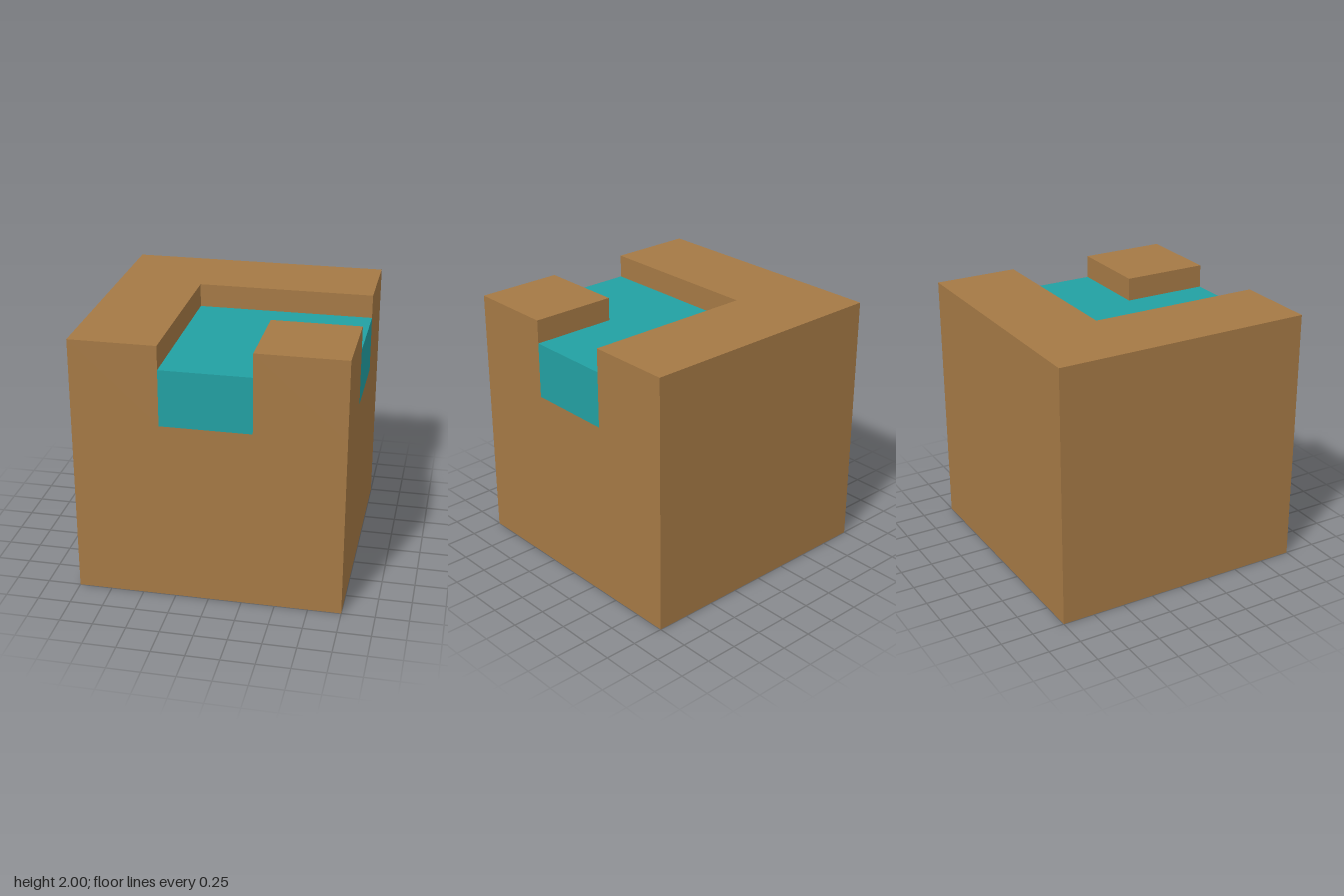
import * as THREE from 'three';

const earth = new THREE.MeshStandardMaterial({ color: 0xa57945 });
earth.name = 'earth brown';
const water = new THREE.MeshStandardMaterial({ color: 0x22a0a2 });
water.name = 'water teal';

// Heights and channel limits (the same along x and z)
const BED = 1.39, SURFACE = 1.82, TOP = 2;
const NEAR = -0.35, FAR = 0.33;

// Upright slab from an [x, z] outline between two heights
function slab(name, outline, y0, y1, material) {
  const shape = new THREE.Shape(outline.map(([x, z]) => new THREE.Vector2(x, -z)));
  const geometry = new THREE.ExtrudeGeometry(shape, { depth: y1 - y0, bevelEnabled: false });
  geometry.rotateX(-Math.PI / 2);
  geometry.translate(0, y0, 0);
  const mesh = new THREE.Mesh(geometry, material);
  mesh.name = name;
  return mesh;
}

export function createModel() {
  const group = new THREE.Group();
  group.name = 'riverBendTile';

  // Solid ground below the river bed
  group.add(slab('groundBlock', [[-1, 1], [1, 1], [1, -1], [-1, -1]], 0, BED, earth));

  // L-shaped bank around the outside of the bend
  group.add(slab('outerBank',
    [[-1, 1], [NEAR, 1], [NEAR, NEAR], [1, NEAR], [1, -1], [-1, -1]], BED, TOP, earth));

  // Square bank inside the bend
  group.add(slab('innerBank', [[FAR, 1], [1, 1], [1, FAR], [FAR, FAR]], BED, TOP, earth));

  // Water running from the front side to the left side
  group.add(slab('riverWater',
    [[NEAR, 1], [FAR, 1], [FAR, FAR], [1, FAR], [1, NEAR], [NEAR, NEAR]], BED, SURFACE, water));

  return group;
}
